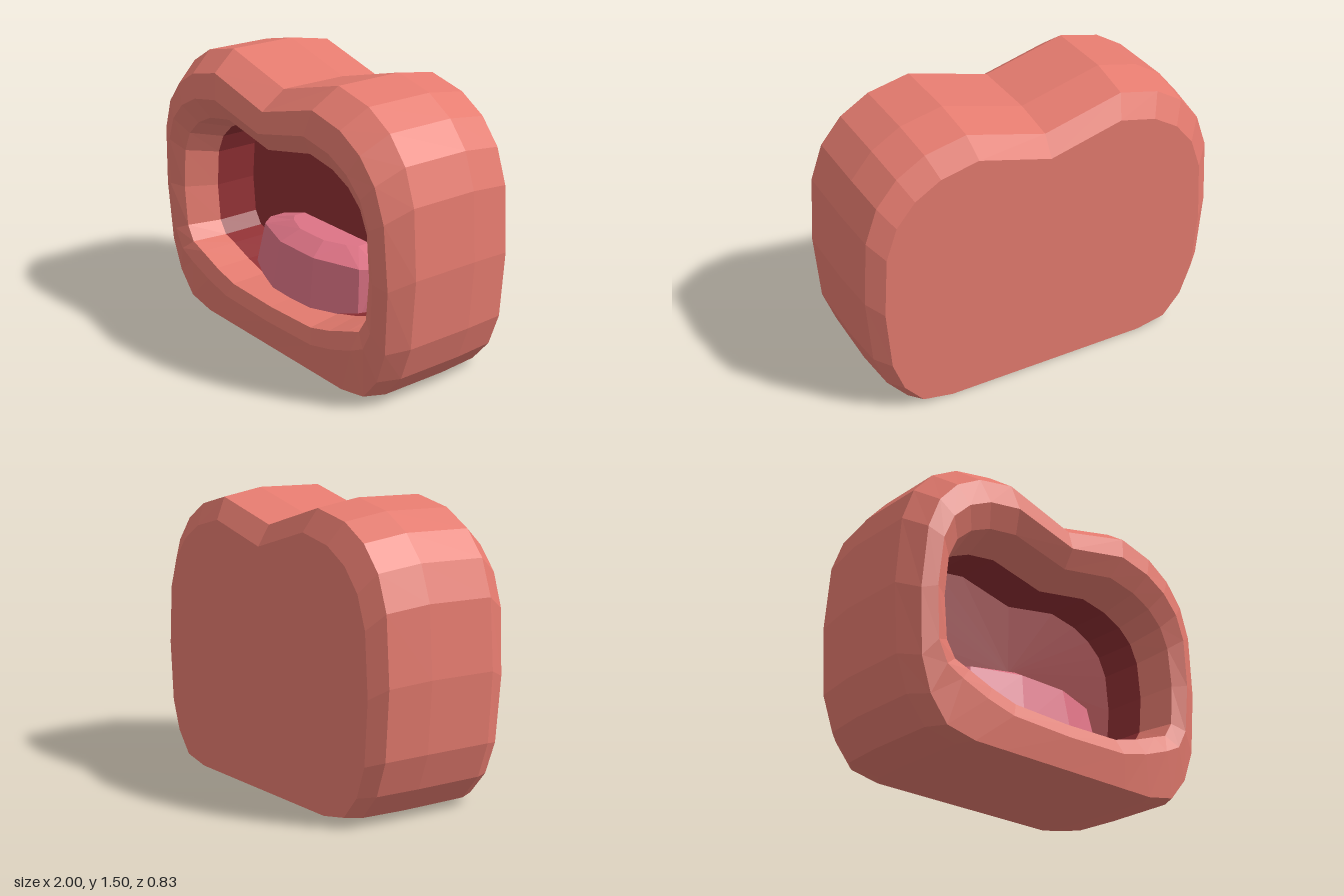
import * as THREE from 'three';

const material = (name, color, extra = {}) => {
  const m = new THREE.MeshStandardMaterial({ color, flatShading: true, ...extra });
  m.name = name;
  return m;
};

// Half outline from the top notch down to the base: x, y, extra lift on inner rings
const half = [
  [0, 1.385, 0], [0.43, 1.5, 0], [0.65, 1.45, 0], [0.8, 1.36, 0], [0.91, 1.23, 0],
  [0.975, 1.05, 0], [1, 0.7, 0], [0.975, 0.345, 0], [0.91, 0.165, 0.03],
  [0.8, 0.035, 0.08], [0.62, 0, 0.05], [0.43, 0, 0.01], [0, 0, 0],
];
const outline = [...half, ...half.slice(1, -1).reverse().map(([x, y, l]) => [-x, y, l])];

// One scaled copy of the outline; z may lean with height
const ring = (sx, sy, y0, z, lean = 0, lift = 0) => outline.map(([x, y, l]) => {
  const py = y * sy + y0 + l * lift;
  return [x * sx, py, z + lean * py];
});

// Skin between successive closed rings; a ring may be a single repeated point
function loft(rings) {
  const pos = [];
  const same = (p, q) => p.every((v, k) => v === q[k]);
  const tri = (a, b, c) => {
    if (!same(a, b) && !same(b, c) && !same(a, c)) pos.push(...a, ...b, ...c);
  };
  for (let r = 0; r < rings.length - 1; r++) {
    const a = rings[r], b = rings[r + 1];
    for (let i = 0; i < a.length; i++) {
      const j = (i + 1) % a.length;
      tri(b[i], b[j], a[j]);
      tri(b[i], a[j], a[i]);
    }
  }
  const g = new THREE.BufferGeometry();
  g.setAttribute('position', new THREE.Float32BufferAttribute(pos, 3));
  g.computeVertexNormals();
  return g;
}

const point = (p, n = outline.length) => Array.from({ length: n }, () => p);

// Tongue cross-section at height y from its right-hand front points, back edge buried in the wall
function tongueRing(y, pts, zBack) {
  const front = [...pts, ...pts.slice().reverse().map(([x, z]) => [-x, z])];
  const end = pts[0][0];
  return [...front, [-end, zBack], [end, zBack]].map(([x, z]) => [x, y, z]);
}

export function createModel() {
  const group = new THREE.Group();
  const add = (name, geometry, mat) => {
    const mesh = new THREE.Mesh(geometry, mat);
    mesh.name = name;
    group.add(mesh);
  };

  // Lips: back cap, outer shell, rounded rim and inner lip in one skin
  add('lips', loft([
    point([0, 0.65, -0.415]),
    ring(0.9, 0.897, 0, -0.415),
    ring(0.975, 0.973, 0, -0.35),
    ring(1, 1, 0, -0.12),
    ring(1, 1, 0, 0.25),
    ring(0.935, 0.933, 0, 0.345, 0.03),
    ring(0.86, 0.74, 0.16, 0.37, 0.035, 1),
    ring(0.785, 0.617, 0.235, 0.35, 0, 1),
    ring(0.745, 0.567, 0.25, 0.16, 0, 1),
  ]), material('lip coral', 0xe57b6f));

  // Mouth cavity: straight wall and back
  add('mouthCavity', loft([
    ring(0.745, 0.567, 0.25, 0.16, 0, 1),
    ring(0.745, 0.567, 0.25, -0.08, 0, 1),
    point([0, 0.65, -0.08]),
  ]), material('mouth dark red', 0x8f2f33));

  // Tongue: bulging front with a bevelled top
  add('tongue', loft([
    tongueRing(0.24, [[0.56, 0.02], [0.44, 0.13], [0.16, 0.22]], -0.12),
    tongueRing(0.51, [[0.46, 0.01], [0.4, 0.09], [0.14, 0.18]], -0.12),
    tongueRing(0.57, [[0.27, -0.01], [0.22, 0.03], [0.1, 0.08]], -0.12),
    point([0, 0.57, -0.03], 8),
  ]), material('tongue pink', 0xdd7385));

  return group;
}
